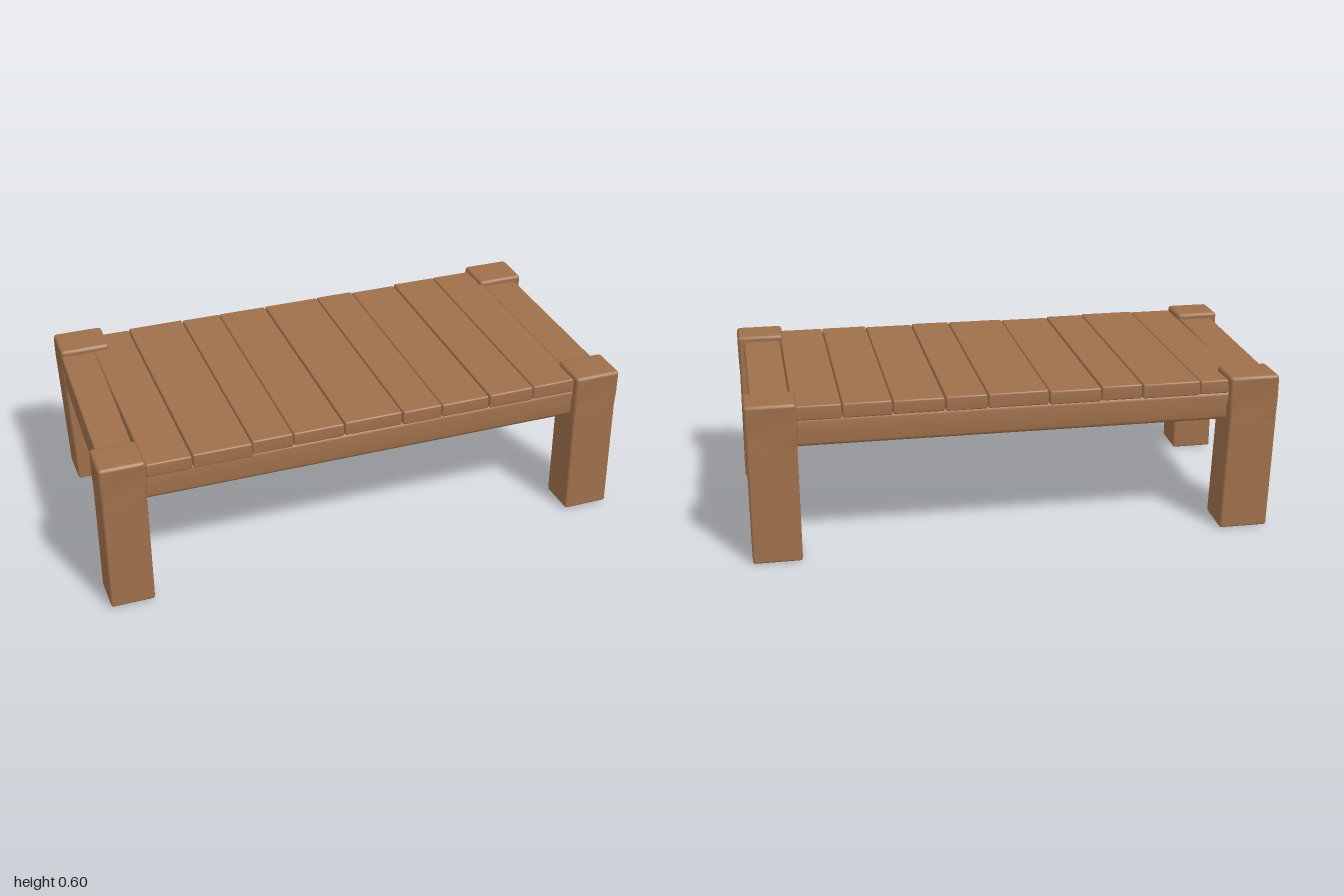
import * as THREE from 'three';
import { mergeVertices } from 'three/addons/utils/BufferGeometryUtils.js';

const wood = new THREE.MeshStandardMaterial({ color: 0x9f704b });
wood.name = 'brown wood';

// Softly bevelled timber block; dent sinks the middle of the four upright faces,
// bend(v, half) shifts each vertex relative to the block centre.
function timber(name, [x0, x1], [y0, y1], [z0, z1], { bevel = 0.012, dent = 0, bend } = {}) {
  const half = new THREE.Vector3(x1 - x0, y1 - y0, z1 - z0).multiplyScalar(0.5);
  const inner = half.clone().subScalar(bevel);
  let geo = new THREE.BoxGeometry(1, 1, 1, 4, 4, 4);
  geo.deleteAttribute('uv');
  geo.deleteAttribute('normal');
  geo = mergeVertices(geo);
  const pos = geo.attributes.position;
  const v = new THREE.Vector3(), core = new THREE.Vector3();
  const place = (t, h) => Math.sign(t) * (Math.abs(t) > 0.4 ? h : Math.abs(t) > 0.1 ? h - bevel : 0);
  for (let i = 0; i < pos.count; i++) {
    v.fromBufferAttribute(pos, i);
    v.set(place(v.x, half.x), place(v.y, half.y), place(v.z, half.z));
    core.copy(v).clamp(inner.clone().negate(), inner);
    v.sub(core).setLength(bevel).add(core);
    if (dent && Math.abs(v.y) < 1e-4) {
      if (Math.abs(v.z) < 1e-4) v.x -= Math.sign(v.x) * dent;
      else if (Math.abs(v.x) < 1e-4) v.z -= Math.sign(v.z) * dent;
    }
    if (bend) bend(v, half);
    pos.setXYZ(i, v.x, v.y, v.z);
  }
  geo.computeVertexNormals();
  const mesh = new THREE.Mesh(geo, wood);
  mesh.name = name;
  mesh.position.set((x0 + x1) / 2, (y0 + y1) / 2, (z0 + z1) / 2);
  return mesh;
}

export function createModel() {
  const table = new THREE.Group();
  table.name = 'woodenTable';

  // Legs: slightly leaning post below a wider, dented head
  const legs = [
    ['frontRightLeg', [-1, -0.832], [0.35, 0.503], 0],
    ['frontLeftLeg', [0.82, 1], [0.35, 0.503], 0.004],
    ['backRightLeg', [-0.96, -0.77], [-0.508, -0.348], 0.016],
    ['backLeftLeg', [0.815, 1], [-0.508, -0.348], 0],
  ];
  for (const [name, x, z, lean] of legs) {
    const leg = new THREE.Group();
    leg.name = name;
    const inset = 0.003;
    leg.add(timber('post', [x[0] + inset, x[1] - inset], [0.005, 0.445], [z[0] + inset, z[1] - inset], {
      bevel: 0.008,
      bend: (v, h) => {
        const down = (h.y - v.y) / (2 * h.y);
        v.x += lean * down;
        v.z *= 1 + 0.06 * down;
        if (v.y < 0) v.y += 0.04 * v.z;
      },
    }));
    leg.add(timber('head', x, [0.425, 0.6], z, {
      dent: 0.016,
      bend: (v, h) => { if (v.y < -h.y * 0.8) { v.x *= 0.97; v.z *= 0.97; } },
    }));
    table.add(leg);
  }

  // Long rails along front and back
  for (const [name, z] of [['frontRail', [0.36, 0.472]], ['backRail', [-0.472, -0.36]]]) {
    table.add(timber(name, [-0.9, 0.92], [0.426, 0.536], z, { bevel: 0.016 }));
  }

  // Ends: a short rail with a plank on top, the right one a little askew
  for (const [side, x, skew] of [['right', [-0.967, -0.834], -0.025], ['left', [0.834, 0.975], 0]]) {
    const bend = (v) => { v.x += skew * v.z; };
    table.add(timber(side + 'Rail', [x[0] + 0.006, x[1] - 0.006], [0.426, 0.532], [-0.42, 0.42], { bevel: 0.016, bend }));
    table.add(timber(side + 'EndPlank', x, [0.525, 0.578], [-0.38, 0.38], { bevel: 0.006, bend }));
  }

  // Top planks of uneven width and length
  const seams = [-0.834, -0.665, -0.445, -0.29, -0.095, 0.13, 0.285, 0.475, 0.655, 0.832];
  const front = [0.492, 0.49, 0.478, 0.474, 0.472, 0.476, 0.474, 0.476, 0.474];
  const back = [-0.472, -0.478, -0.474, -0.48, -0.476, -0.48, -0.478, -0.484, -0.486];
  const planks = new THREE.Group();
  planks.name = 'planks';
  for (let i = 0; i < front.length; i++) {
    planks.add(timber('plank' + (i + 1), [seams[i] + 0.0015, seams[i + 1] - 0.0015],
      [0.53, i % 3 ? 0.585 : 0.582], [back[i], front[i]], { bevel: 0.006 }));
  }
  table.add(planks);
  return table;
}
